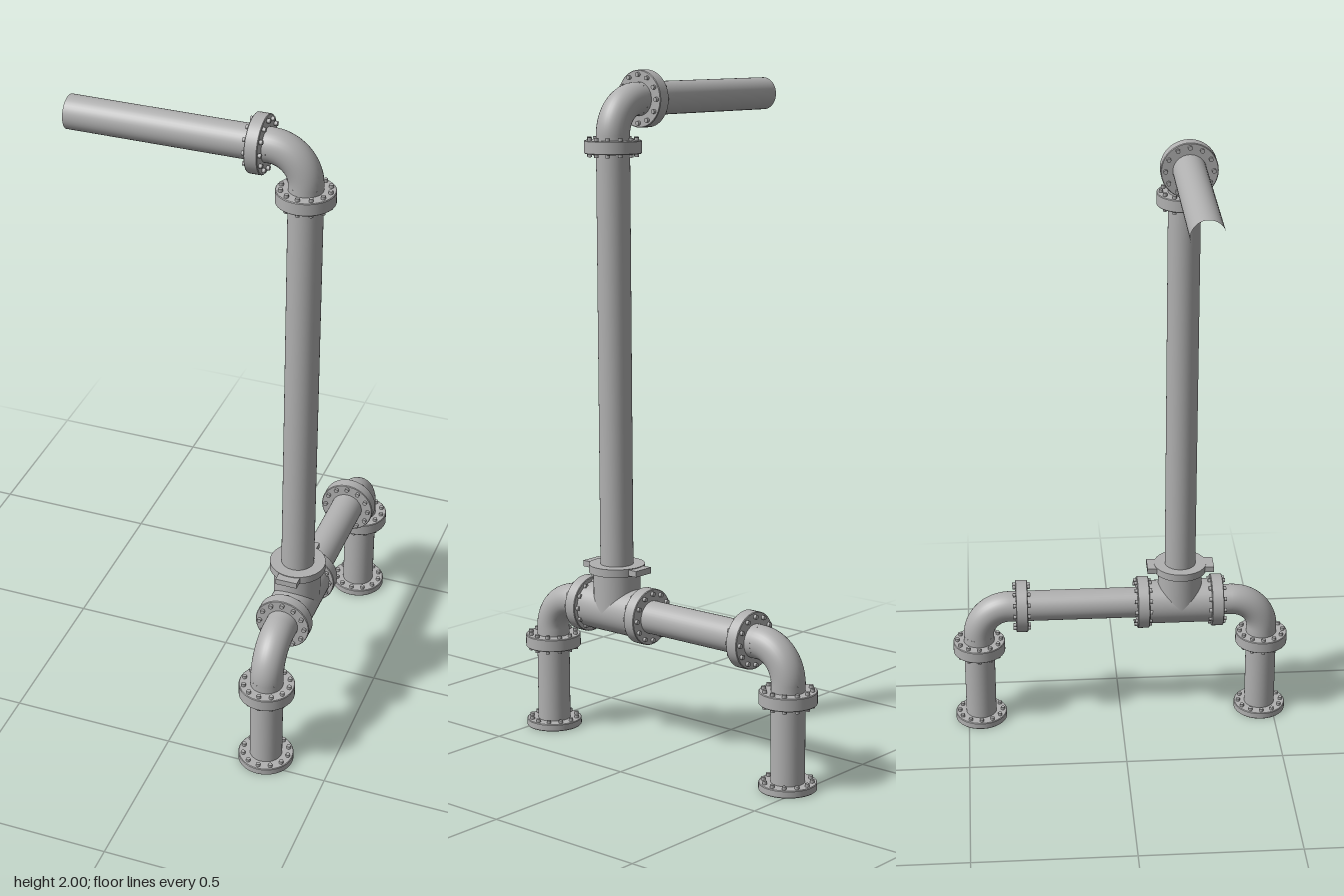
import * as THREE from 'three';

export function createModel() {
  const model = new THREE.Group();
  model.name = 'pipeStand';
  const steel = new THREE.MeshStandardMaterial({ color: 0xb0b0b0 });
  steel.name = 'grey steel';

  const R = 0.049, BEND = 0.1, FLANGE_R = 0.0835, TEE_R = 0.07;
  const X = 0.301, POST_Z = 0.191, LEG_Z = 0.459, RUN_Y = 0.411, ARM_Y = 1.9165;

  function add(parent, geometry, name) {
    const mesh = new THREE.Mesh(geometry, steel);
    mesh.name = name;
    parent.add(mesh);
    return mesh;
  }

  // Turns something built along y to lie along another axis
  function align(object, axis) {
    if (axis === 'x') object.rotation.z = -Math.PI / 2;
    if (axis === 'z') object.rotation.x = Math.PI / 2;
    return object;
  }

  // Straight cylinder between two coordinates of one axis
  function pipe(name, axis, from, to, pos, radius = R, open = true) {
    const mesh = add(model, new THREE.CylinderGeometry(radius, radius, to - from, 40, 1, open), name);
    mesh.position.set(...pos);
    mesh.position[axis] = (from + to) / 2;
    return align(mesh, axis);
  }

  // Disc with a slightly softened rim and a ring of twelve bolts
  function flange(name, axis, pos, height = 0.038, boltBelow = true) {
    const group = new THREE.Group();
    group.name = name;
    const h = height / 2, c = 0.002;
    const rim = [[0, -h], [FLANGE_R - c, -h], [FLANGE_R - c, -h], [FLANGE_R, -h + c], [FLANGE_R, -h + c],
      [FLANGE_R, h - c], [FLANGE_R, h - c], [FLANGE_R - c, h], [FLANGE_R - c, h], [0, h]];
    add(group, new THREE.LatheGeometry(rim.map(p => new THREE.Vector2(...p)), 48), 'disc');
    const stick = 0.009;
    const length = height + (boltBelow ? 2 * stick : stick);
    const boltGeometry = new THREE.CylinderGeometry(0.0065, 0.0065, length, 10);
    for (let i = 0; i < 12; i++) {
      const a = i * Math.PI / 6;
      const bolt = add(group, boltGeometry, 'bolt');
      bolt.position.set(Math.cos(a) * 0.07, boltBelow ? 0 : stick / 2, Math.sin(a) * 0.07);
    }
    group.position.set(...pos);
    model.add(align(group, axis));
  }

  // Quarter bend from vertical into horizontal
  function elbow(name, pos, turn) {
    const mesh = add(model, new THREE.TorusGeometry(BEND, R, 32, 24, Math.PI / 2), name);
    mesh.position.set(...pos);
    mesh.rotation.y = turn;
  }

  // Two legs with base plate, coupling and bend
  for (const [side, s] of [['front', 1], ['back', -1]]) {
    const z = s * LEG_Z;
    pipe(side + 'Leg', 'y', 0.004, RUN_Y - BEND, [X, 0, z]);
    flange(side + 'BaseFlange', 'y', [X, 0.011, z], 0.022, false);
    flange(side + 'LegFlange', 'y', [X, 0.27, z]);
    elbow(side + 'Elbow', [X, RUN_Y - BEND, s * (LEG_Z - BEND)], -s * Math.PI / 2);
  }

  // Horizontal run between the legs
  pipe('runPipe', 'z', -LEG_Z + BEND, LEG_Z - BEND, [X, RUN_Y, 0]);
  for (const z of [0.309, 0.071, -0.319]) flange('runFlange', 'z', [X, RUN_Y, z]);

  // Tee under the post
  pipe('teeBody', 'z', 0.071, 0.309, [X, RUN_Y, 0], TEE_R, false);
  pipe('teeBranch', 'y', RUN_Y, 0.53, [X, 0, POST_Z], TEE_R, false);

  // Clamp collar with two square lugs
  pipe('collar', 'y', 0.528, 0.552, [X, 0, POST_Z], FLANGE_R, false);
  for (const s of [-1, 1]) {
    const lug = add(model, new THREE.BoxGeometry(0.066, 0.018, 0.045), 'collarLug');
    lug.position.set(X, 0.541, POST_Z + s * 0.084);
  }

  // Post, top bend and arm
  pipe('post', 'y', 0.54, ARM_Y - BEND, [X, 0, POST_Z]);
  flange('postTopFlange', 'y', [X, 1.783, POST_Z]);
  elbow('topElbow', [X - BEND, ARM_Y - BEND, POST_Z], 0);
  pipe('arm', 'x', -0.387, X - BEND, [0, ARM_Y, POST_Z]);
  flange('armFlange', 'x', [0.17, ARM_Y, POST_Z]);

  return model;
}
